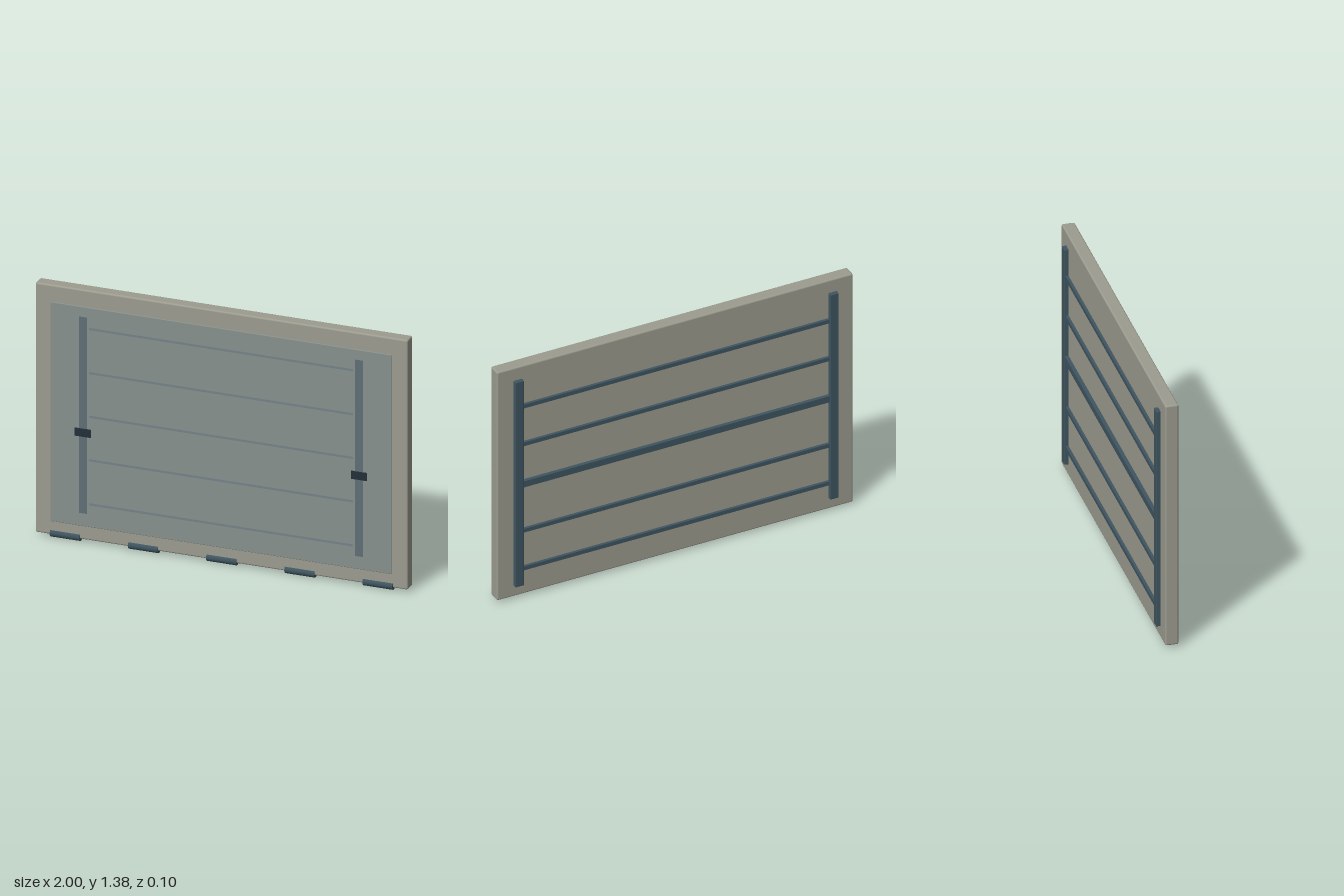
import * as THREE from 'three';
import { RoundedBoxGeometry } from 'three/addons/geometries/RoundedBoxGeometry.js';

const paint = (color) => new THREE.MeshStandardMaterial({ color });

export function createModel() {
  const model = new THREE.Group();
  const frameMat = paint(0x9c9c90), glassMat = paint(0x87918c), steelMat = paint(0x3f5560);
  const stripMat = paint(0x5f6f74), lineMat = paint(0x76838a), darkMat = paint(0x22303a);

  // Block given by its min and max corners; a bevel softens its edges
  function block(name, mat, [x0, y0, z0], [x1, y1, z1], bevel = 0) {
    const size = [x1 - x0, y1 - y0, z1 - z0];
    const geo = bevel
      ? new RoundedBoxGeometry(...size, 2, bevel)
      : new THREE.BoxGeometry(...size);
    const mesh = new THREE.Mesh(geo, mat);
    mesh.name = name;
    mesh.position.set((x0 + x1) / 2, (y0 + y1) / 2, (z0 + z1) / 2);
    model.add(mesh);
  }

  // Main slab and the raised front panel
  block('slab', frameMat, [-1, 0.015, -0.027], [1, 1.375, 0.042], 0.009);
  block('frontPanel', glassMat, [-0.917, 0.09, 0.03], [0.917, 1.285, 0.048], 0.003);

  for (const s of [-1, 1]) {
    const side = s > 0 ? 'left' : 'right';
    const span = (a, b) => [Math.min(s * a, s * b), Math.max(s * a, s * b)];
    // Vertical strip and handle on the front
    const [a, b] = span(0.72, 0.763);
    block(side + 'FrontStrip', stripMat, [a, 0.16, 0.044], [b, 1.23, 0.049]);
    const [c, d] = span(0.698, 0.785);
    block(side + 'Handle', darkMat, [c, 0.578, 0.044], [d, 0.622, 0.051]);
    // Vertical rail on the back
    const [e, f] = span(0.86, 0.908);
    block(side + 'BackRail', steelMat, [e, 0.08, -0.05], [f, 1.3, -0.025], 0.004);
  }

  // Fine lines across the front panel
  for (const y of [0.215, 0.455, 0.692, 0.93, 1.17])
    block('frontLine', lineMat, [-0.708, y - 0.006, 0.044], [0.708, y + 0.006, 0.0488]);

  // Cross bars on the back, the middle one heavier
  [0.175, 0.4, 0.68, 0.915, 1.14].forEach((y, i) => {
    const h = i === 2 ? 0.018 : 0.011;
    const depth = i === 2 ? 0.047 : 0.042;
    block('backCrossBar', steelMat, [-0.87, y - h, -depth], [0.87, y + h, -0.025]);
  });

  // Hinge barrels along the lower front edge
  const barrel = new THREE.CylinderGeometry(0.022, 0.022, 0.16, 16).rotateZ(Math.PI / 2);
  for (let i = -2; i <= 2; i++) {
    const hinge = new THREE.Mesh(barrel, steelMat);
    hinge.name = 'hinge';
    hinge.position.set(i * 0.42, 0.022, 0.028);
    model.add(hinge);
  }
  return model;
}
